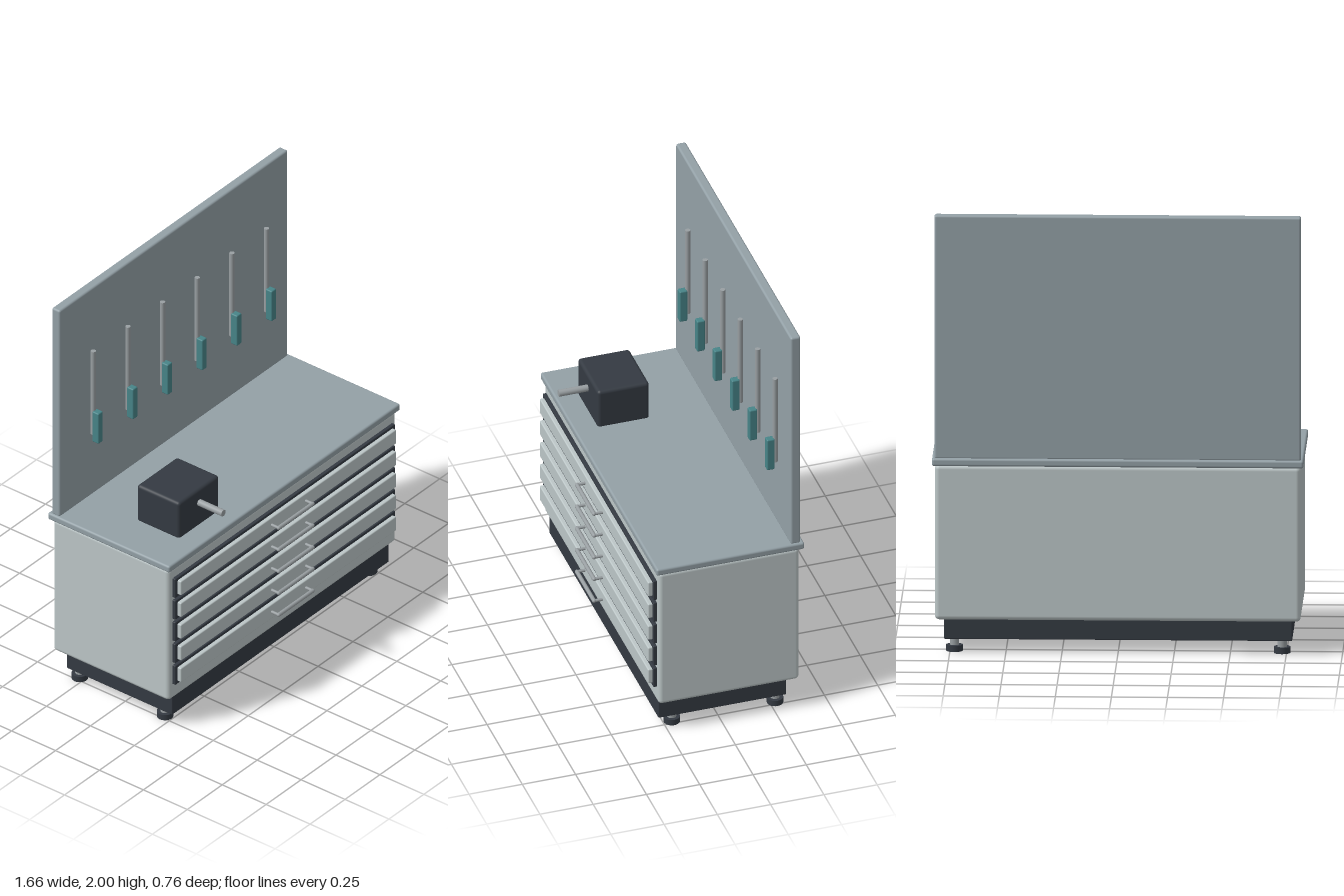
import * as THREE from 'three';
import { RoundedBoxGeometry } from 'three/addons/geometries/RoundedBoxGeometry.js';

export function createModel() {
  const model = new THREE.Group();
  model.name = 'workbench';

  const mat = (name, color) => {
    const m = new THREE.MeshStandardMaterial({ color });
    m.name = name;
    return m;
  };
  const paint = mat('lightGreyPaint', 0xbcc6c7);
  const slate = mat('slateGrey', 0x93a0a6);
  const dark = mat('darkGrey', 0x343a42);
  const steel = mat('steel', 0x999fa2);
  const teal = mat('tealGrip', 0x478488);

  const add = (parent, name, geometry, material, x, y, z) => {
    const mesh = new THREE.Mesh(geometry, material);
    mesh.name = name;
    mesh.position.set(x, y, z);
    parent.add(mesh);
    return mesh;
  };
  // Rounded block given by its lower and upper limits on each axis
  const block = (parent, name, material, [x0, x1], [y0, y1], [z0, z1], r) =>
    add(parent, name, new RoundedBoxGeometry(x1 - x0, y1 - y0, z1 - z0, 3, r), material,
      (x0 + x1) / 2, (y0 + y1) / 2, (z0 + z1) / 2);
  const group = (name) => {
    const g = new THREE.Group();
    g.name = name;
    model.add(g);
    return g;
  };

  // Cabinet, plinth, worktop and back panel
  block(model, 'cabinet', paint, [-0.815, 0.815], [0.156, 0.862], [-0.363, 0.298], 0.02);
  block(model, 'plinth', dark, [-0.776, 0.776], [0.06, 0.165], [-0.313, 0.287], 0.004);
  block(model, 'worktop', slate, [-0.828, 0.828], [0.86, 0.895], [-0.382, 0.312], 0.01);
  block(model, 'backPanel', slate, [-0.817, 0.817], [0.89, 2.0], [-0.367, -0.32], 0.01);

  // Levelling feet
  for (const x of [-0.73, 0.73]) {
    for (const z of [0.21, -0.275]) {
      const foot = group('foot');
      add(foot, 'footPad', new THREE.CylinderGeometry(0.037, 0.037, 0.028, 24), dark, x, 0.014, z);
      add(foot, 'footStem', new THREE.CylinderGeometry(0.021, 0.021, 0.045, 20), steel, x, 0.045, z);
    }
  }

  // Five drawers, each with a dark surround and a bar pull
  for (let i = 0; i < 5; i++) {
    const y = 0.757 - i * 0.117;
    const drawer = group('drawer');
    block(drawer, 'drawerSurround', dark, [-0.787, 0.787], [y - 0.051, y + 0.051], [0.285, 0.314], 0.004);
    block(drawer, 'drawerFront', paint, [-0.771, 0.771], [y - 0.038, y + 0.038], [0.30, 0.334], 0.006);
    const bar = add(drawer, 'pullBar', new THREE.CapsuleGeometry(0.0095, 0.243, 4, 12), steel, 0, y, 0.373);
    bar.rotation.z = Math.PI / 2;
    for (const x of [-0.122, 0.122]) {
      const post = add(drawer, 'pullPost', new THREE.CylinderGeometry(0.007, 0.007, 0.045, 12), steel, x, y, 0.351);
      post.rotation.x = Math.PI / 2;
    }
  }

  // Vise with its screw
  const vise = group('vise');
  block(vise, 'viseBody', dark, [-0.623, -0.333], [0.885, 1.082], [-0.038, 0.205], 0.016);
  const screw = add(vise, 'viseScrew', new THREE.CylinderGeometry(0.016, 0.016, 0.17, 16), steel, -0.478, 1.013, 0.257);
  screw.rotation.x = Math.PI / 2;

  // Row of hanging tools
  for (let i = 0; i < 6; i++) {
    const x = -0.597 + i * 0.248;
    const tool = group('hangingTool');
    add(tool, 'toolShaft', new THREE.CylinderGeometry(0.012, 0.012, 0.445, 16), steel, x, 1.455, -0.304);
    block(tool, 'toolGrip', teal, [x - 0.017, x + 0.017], [1.2, 1.362], [-0.298, -0.261], 0.006);
  }

  return model;
}
